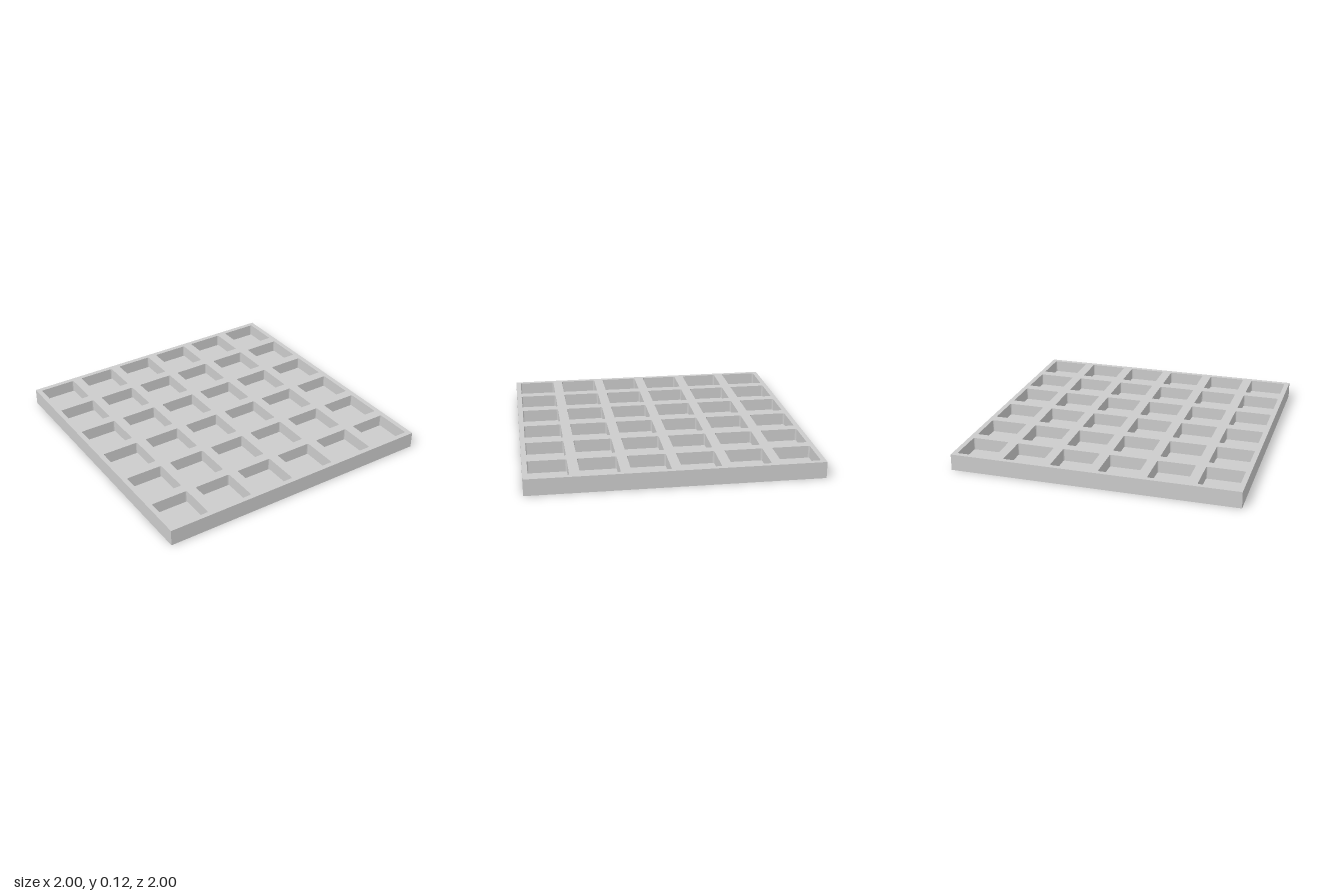
import * as THREE from 'three';

const HEIGHT = 0.115;  // top of the tray
const FLOOR = 0.028;   // level of the pocket floors
const COUNT = 6;       // pockets per side
const PITCH = 2 / COUNT;
const HALF = 0.132;    // half a pocket's width
const RADIUS = 0.01;   // pocket corner radius

const material = new THREE.MeshStandardMaterial({
  color: 0xcccccc, flatShading: true, side: THREE.DoubleSide,
});

// Counterclockwise outline of a rounded square
function pocketOutline(cx, cy) {
  const points = [];
  const inset = HALF - RADIUS;
  for (let corner = 0; corner < 4; corner++) {
    const start = corner * Math.PI / 2;
    const mid = start + Math.PI / 4;
    const ox = cx + Math.sign(Math.cos(mid)) * inset;
    const oy = cy + Math.sign(Math.sin(mid)) * inset;
    for (let i = 0; i <= 3; i++) {
      const a = start + (i / 3) * Math.PI / 2;
      points.push(new THREE.Vector2(ox + RADIUS * Math.cos(a), oy + RADIUS * Math.sin(a)));
    }
  }
  return points;
}

// Upright wall along a closed outline, facing out when counterclockwise
function wallGeometry(points, low, high) {
  const positions = [];
  points.forEach((a, i) => {
    const b = points[(i + 1) % points.length];
    positions.push(a.x, low, -a.y, b.x, low, -b.y, b.x, high, -b.y);
    positions.push(a.x, low, -a.y, b.x, high, -b.y, a.x, high, -a.y);
  });
  const geometry = new THREE.BufferGeometry();
  geometry.setAttribute('position', new THREE.Float32BufferAttribute(positions, 3));
  geometry.computeVertexNormals();
  return geometry;
}

// Level sheet facing up
function sheetGeometry(shape, y) {
  return new THREE.ShapeGeometry(shape).rotateX(-Math.PI / 2).translate(0, y, 0);
}

function addMesh(parent, name, geometry) {
  const mesh = new THREE.Mesh(geometry, material);
  mesh.name = name;
  parent.add(mesh);
}

export function createModel() {
  const tray = new THREE.Group();
  tray.name = 'tray';

  const border = [[-1, -1], [1, -1], [1, 1], [-1, 1]].map(([x, y]) => new THREE.Vector2(x, y));
  const deck = new THREE.Shape(border);

  // Sunken pockets, each a wall and a floor
  for (let row = 0; row < COUNT; row++) {
    for (let column = 0; column < COUNT; column++) {
      const outline = pocketOutline((column + 0.5) * PITCH - 1, (row + 0.5) * PITCH - 1);
      deck.holes.push(new THREE.Path(outline));

      const pocket = new THREE.Group();
      pocket.name = 'pocket';
      addMesh(pocket, 'pocketWall', wallGeometry([...outline].reverse(), FLOOR, HEIGHT));
      addMesh(pocket, 'pocketFloor', sheetGeometry(new THREE.Shape(outline), FLOOR));
      tray.add(pocket);
    }
  }

  // Top grid and outer skirt, open underneath
  addMesh(tray, 'topGrid', sheetGeometry(deck, HEIGHT));
  addMesh(tray, 'skirt', wallGeometry(border, 0, HEIGHT));

  return tray;
}
